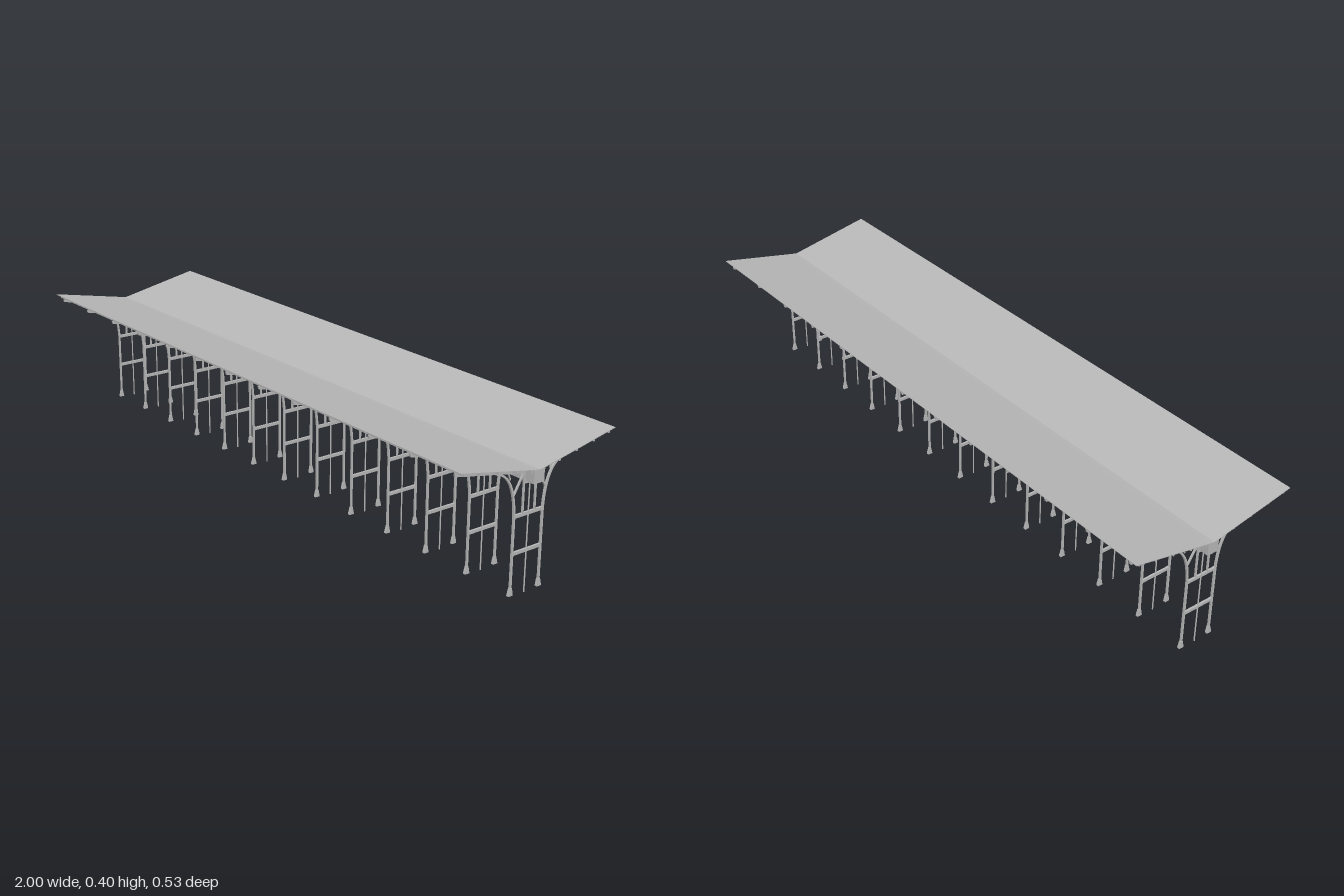
import * as THREE from 'three';

const steel = new THREE.MeshStandardMaterial({ color: 0xb8b8b8 });
steel.name = 'grey steel';

// Extrudes a [z, y] outline along x, centred on x = 0
function profile(name, points, length) {
  const shape = new THREE.Shape(points.map(([z, y]) => new THREE.Vector2(z, y)));
  const geo = new THREE.ExtrudeGeometry(shape, { depth: length, bevelEnabled: false });
  geo.translate(0, 0, -length / 2).rotateY(-Math.PI / 2);
  const mesh = new THREE.Mesh(geo, steel);
  mesh.name = name;
  return mesh;
}

function box(name, w, h, d, x, y, z) {
  const mesh = new THREE.Mesh(new THREE.BoxGeometry(w, h, d), steel);
  mesh.name = name;
  mesh.position.set(x, y, z);
  return mesh;
}

// Straight bar between two [z, y] points
function bar(name, a, b, width, depth) {
  const dz = b[0] - a[0], dy = b[1] - a[1], l = Math.hypot(dz, dy);
  const nz = -dy / l * width / 2, ny = dz / l * width / 2;
  return profile(name, [
    [a[0] + nz, a[1] + ny], [b[0] + nz, b[1] + ny],
    [b[0] - nz, b[1] - ny], [a[0] - nz, a[1] - ny]], depth);
}

const roofY = z => 0.351 + (Math.abs(z) - 0.017) * 0.2;
const armY = z => roofY(z) - 0.0105; // top edge of the sloping arm

// Curved knee that sweeps from the column into the arm
function knee(s) {
  const curve = new THREE.CubicBezierCurve(
    new THREE.Vector2(0.05, 0.222), new THREE.Vector2(0.053, 0.29),
    new THREE.Vector2(0.07, 0.342), new THREE.Vector2(0.118, 0.353));
  const outer = [], inner = [];
  for (let i = 0; i <= 14; i++) {
    const p = curve.getPoint(i / 14), t = curve.getTangent(i / 14);
    outer.push([s * (p.x + t.y * 0.0027), p.y - t.x * 0.0027]);
    inner.unshift([s * (p.x - t.y * 0.0027), p.y + t.x * 0.0027]);
  }
  return profile('curvedKnee', [...outer, ...inner], 0.006);
}

function supportFrame(x) {
  const frame = new THREE.Group();
  frame.name = 'supportFrame';
  frame.position.x = x;
  for (const s of [1, -1]) {
    frame.add(
      box('column', 0.006, 0.202, 0.0052, 0, 0.123, s * 0.05),
      profile('columnFoot', [
        [s * 0.043, 0.004], [s * 0.058, 0.004], [s * 0.058, 0.007],
        [s * 0.053, 0.026], [s * 0.047, 0.026], [s * 0.043, 0.007]], 0.008),
      box('innerPost', 0.005, 0.118, 0.0045, 0, 0.281, s * 0.021),
      knee(s),
      profile('roofArm', [
        [s * 0.02, armY(0.02)], [s * 0.258, armY(0.258)],
        [s * 0.256, armY(0.258) - 0.009], [s * 0.02, armY(0.02) - 0.008]], 0.006),
      bar('diagonalBrace', [s * 0.055, 0.281], [s * 0.0235, 0.335], 0.0045, 0.005),
      bar('kneeStrut', [s * 0.069, 0.326], [s * 0.077, 0.346], 0.003, 0.004));
  }
  frame.add(
    box('lowerCrossbar', 0.006, 0.009, 0.1, 0, 0.12, 0),
    box('upperCrossbar', 0.006, 0.009, 0.1, 0, 0.222, 0),
    box('gutterBearer', 0.006, 0.006, 0.042, 0, 0.308, 0));
  const pipe = new THREE.Mesh(new THREE.CylinderGeometry(0.002, 0.002, 0.311, 8), steel);
  pipe.name = 'downpipe';
  pipe.position.y = 0.1555;
  frame.add(pipe);
  return frame;
}

export function createModel() {
  const model = new THREE.Group();
  model.name = 'platformCanopy';

  // Two thin roof slopes meeting in a shallow valley
  const top = [[-0.266, roofY(0.266)], [-0.017, 0.351], [0, 0.348], [0.017, 0.351], [0.266, roofY(0.266)]];
  const under = top.map(([z, y]) => [z, y - 0.002]).reverse();
  model.add(profile('roof', [...top, ...under], 2));

  // Box gutter beneath the valley, with upright side flanges
  model.add(box('gutter', 1.998, 0.035, 0.03, 0, 0.3295, 0));
  for (const s of [1, -1]) {
    model.add(box('gutterSide', 1.998, 0.037, 0.003, 0, 0.3305, s * 0.0165));
    // Purlins between the arms and the roof sheets
    for (const z of [0.25, 0.196, 0.135, 0.075, 0.022]) {
      const a = z - 0.002, b = z + 0.002;
      model.add(profile('purlin', [
        [s * a, armY(a)], [s * b, armY(b)],
        [s * b, roofY(b) - 0.0015], [s * a, roofY(a) - 0.0015]], 1.99));
    }
  }

  // Thirteen evenly spaced frames
  for (let i = -6; i <= 6; i++) model.add(supportFrame(i * 0.1613));
  return model;
}
